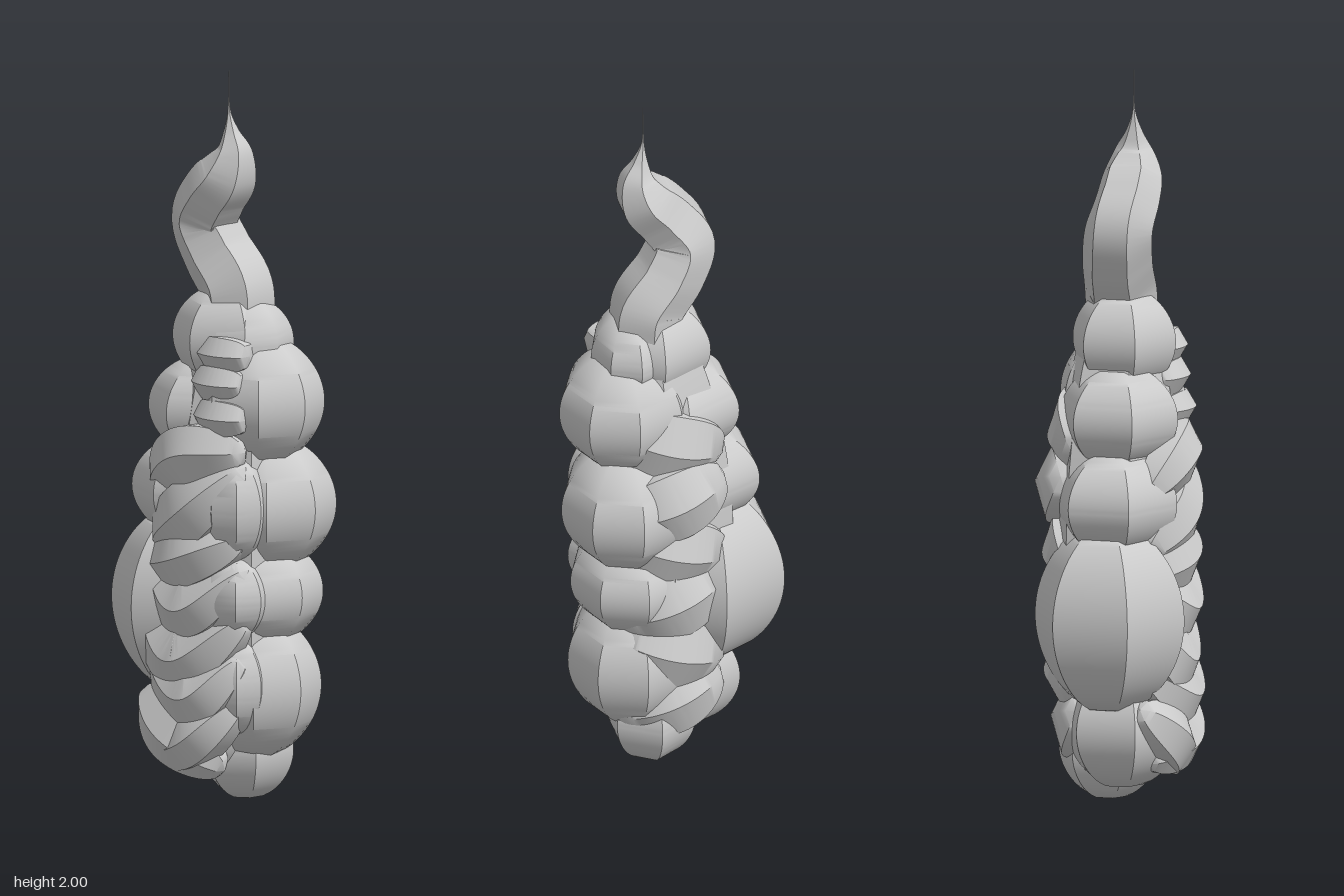
import * as THREE from 'three';
import { toCreasedNormals } from 'three/addons/utils/BufferGeometryUtils.js';

const material = new THREE.MeshStandardMaterial({ color: 0xcccccc, side: THREE.DoubleSide });
const V = (x, y, z) => new THREE.Vector3(x, y, z);

// Faceted strand swept along a curve; size(t) gives [half width, half depth]
function strand(name, points, size, { out = V(0, 0, 1), steps = 32, sides = 6, phase = 0.5 } = {}) {
  const curve = new THREE.CatmullRomCurve3(points);
  const position = [], index = [];
  for (let i = 0; i <= steps; i++) {
    const t = i / steps;
    const c = curve.getPoint(t), tangent = curve.getTangent(t);
    const across = tangent.clone().cross(out).normalize();
    const depth = across.clone().cross(tangent).normalize();
    const [w, d] = size(t);
    for (let j = 0; j < sides; j++) {
      const a = (j + phase) / sides * Math.PI * 2;
      const p = c.clone().addScaledVector(across, Math.cos(a) * w).addScaledVector(depth, Math.sin(a) * d);
      position.push(p.x, p.y, p.z);
      if (i < steps) {
        const k = i * sides + j, n = i * sides + (j + 1) % sides;
        index.push(k, k + sides, n, n, k + sides, n + sides);
      }
    }
  }
  const geometry = new THREE.BufferGeometry();
  geometry.setAttribute('position', new THREE.Float32BufferAttribute(position, 3));
  geometry.setIndex(index);
  const mesh = new THREE.Mesh(toCreasedNormals(geometry, 0.7), material);
  mesh.name = name;
  return mesh;
}

// Rounded swelling, closing to a point at both ends
const swell = (w, d, power = 0.45) => t => {
  const s = Math.max(0.004, Math.sin(Math.PI * t) ** power || 0);
  return [w * s, d * s];
};

export function createModel() {
  const model = new THREE.Group();
  model.name = 'braid';

  // Core holding the braid together
  model.add(strand('core', [V(0.05, 0.05, 0), V(0.02, 0.7, 0), V(0.05, 1.4, 0)], swell(0.21, 0.18, 0.4)));

  // Bulging turns of the braid: x, z, bottom, top, half width, half depth, sides
  const bulges = [
    [0.055, -0.035, 0, 0.28, 0.125, 0.14, 6],
    [-0.03, 0.03, 0.05, 0.39, 0.185, 0.165, 6],
    [0.1, -0.02, 0.12, 0.52, 0.18, 0.18, 8],
    [-0.12, 0.02, 0.27, 0.79, 0.215, 0.21, 6],
    [0.1, -0.03, 0.42, 0.73, 0.175, 0.18, 8],
    [0.12, -0.05, 0.63, 1.0, 0.185, 0.185, 8],
    [-0.07, 0.025, 0.69, 0.99, 0.2, 0.17, 6],
    [0.12, -0.015, 0.92, 1.28, 0.182, 0.175, 8],
    [-0.03, 0.02, 0.92, 1.21, 0.18, 0.165, 6],
    [0.1, 0, 1.14, 1.38, 0.11, 0.13, 8],
    [0.035, 0.015, 1.12, 1.41, 0.165, 0.145, 6],
    // Smaller turns on the front left flank
    [0.15, 0.1, 0.68, 0.96, 0.1, 0.09, 8],
    [0.14, 0.1, 0.46, 0.69, 0.11, 0.09, 8],
    [0.14, 0.09, 0.2, 0.47, 0.1, 0.09, 8],
  ];
  for (const [x, z, y0, y1, w, d, sides] of bulges) {
    model.add(strand('bulge', [V(x, y0, z), V(x, (y0 + y1) / 2, z), V(x, y1, z)],
      swell(w, d), { sides, phase: sides === 8 ? 0 : 0.5 }));
  }

  // Broad overlapping locks crossing the front: start, middle, end (x, y) and half width
  const crescents = [
    [-0.13, 0.86, 0.03, 0.96, 0.2, 0.98, 0.09],
    [-0.12, 0.7, 0.04, 0.8, 0.2, 0.94, 0.1],
    [-0.13, 0.64, 0.03, 0.68, 0.2, 0.75, 0.09],
    [-0.13, 0.62, 0.04, 0.54, 0.21, 0.66, 0.085],
    [-0.17, 0.53, 0.01, 0.4, 0.21, 0.53, 0.095],
    [-0.14, 0.38, 0.06, 0.3, 0.2, 0.42, 0.09],
    [-0.17, 0.29, -0.03, 0.19, 0.12, 0.1, 0.085],
    [-0.1, 0.13, 0.06, 0.18, 0.19, 0.3, 0.075],
  ];
  for (const [x0, y0, x1, y1, x2, y2, w] of crescents) {
    model.add(strand('frontLock', [V(x0, y0, 0.12), V(x1, y1, 0.16), V(x2, y2, 0.11)], swell(w, 0.07, 0.4)));
  }

  // Broad slanting locks across the back, each with its own depth
  [0.1, 0.12, 0.13, 0.125, 0.145, 0.11].forEach((z, i) => {
    const y = 0.22 + i * 0.16, s = i % 2 ? 1 : -1;
    model.add(strand('backLock',
      [V(0.02 - 0.15 * s, y - 0.05, 0.03 - z), V(0.02, y, -z), V(0.02 + 0.15 * s, y + 0.05, 0.03 - z)],
      swell(0.12, 0.08, 0.4), { out: V(0, 0, -1) }));
  });

  // Small bands binding the upper front
  for (const [y, x, z] of [[1.24, 0.115, 0.11], [1.16, 0.11, 0.12], [1.07, 0.13, 0.13]]) {
    model.add(strand('band', [V(x - 0.09, y, z - 0.02), V(x, y, z), V(x + 0.08, y, z - 0.02)],
      swell(0.055, 0.055, 0.2)));
  }

  // Curling tail that tapers to a fine wisp: x, y, z, half width
  const tail = [
    [0.06, 1.33, 0, 0.1], [0.052, 1.4, 0, 0.102], [-0.012, 1.49, 0.01, 0.098], [-0.047, 1.58, 0.025, 0.094],
    [0, 1.655, 0.035, 0.09], [0.052, 1.715, 0.033, 0.082], [0.073, 1.775, 0.032, 0.056],
    [0.066, 1.83, 0.034, 0.024], [0.058, 1.89, 0.035, 0.004], [0.058, 2, 0.035, 0.001],
  ];
  const widths = new THREE.CatmullRomCurve3(tail.map(p => V(p[3], 0, 0)), false, 'catmullrom');
  const taper = t => Array(2).fill(Math.max(0.001, widths.getPoint(t).x));
  model.add(strand('tail', tail.map(([x, y, z]) => V(x, y, z)), taper, { steps: 64 }));

  return model;
}
